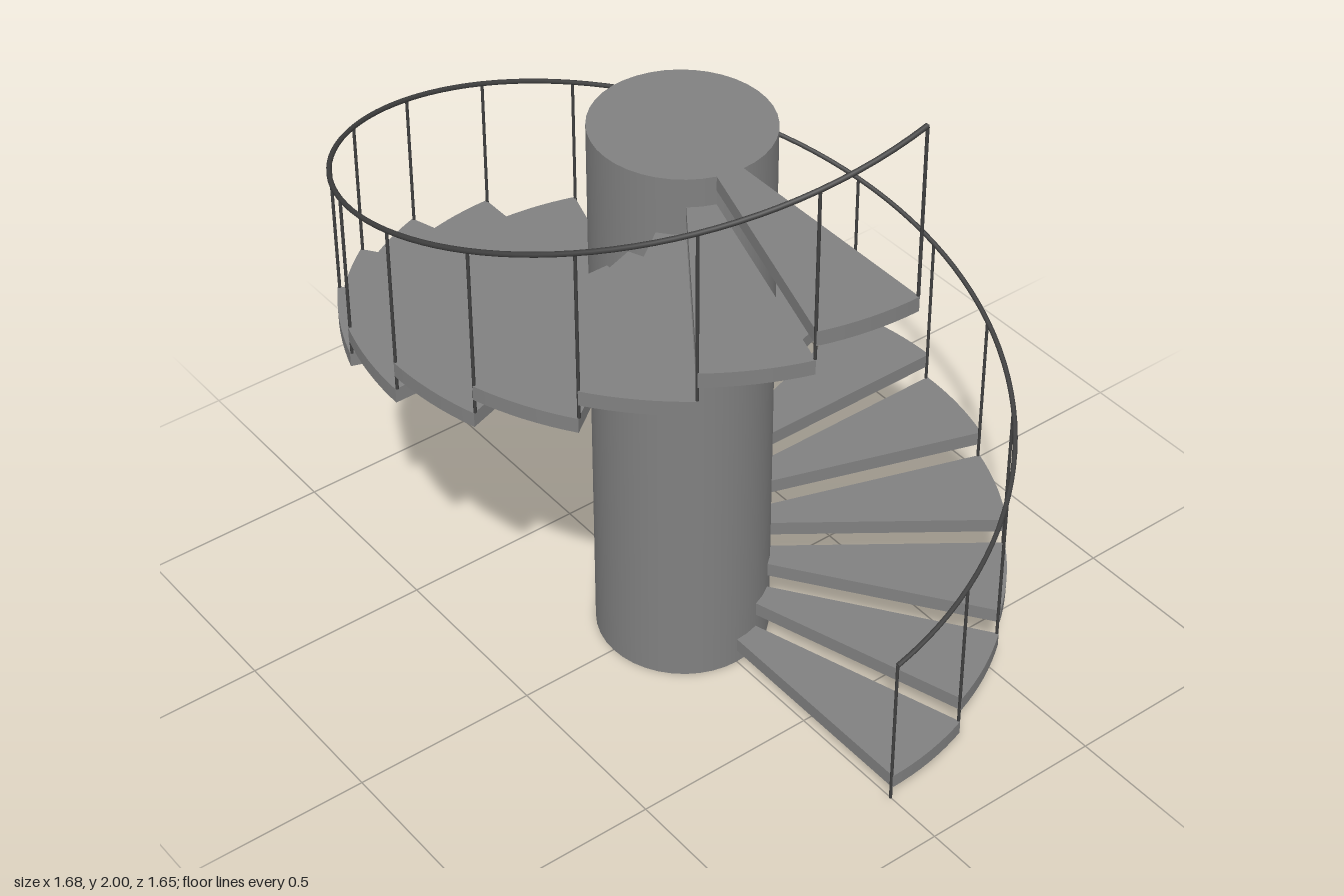
import * as THREE from 'three';

const STEPS = 20;
const TURN = Math.PI * 2 / STEPS;   // angle of one tread
const RISE = 0.0775;                // height gained per tread
const THICK = 0.039;
const OVAL = 0.982;                 // the plan is slightly narrower in z
const COLUMN_R = 0.229, TREAD_R = 0.841, RAIL_R = 0.836;
const RAIL_H = 0.446;               // rail height above the tread line

// Point on the oval plan at angle a, climbing towards -z
const onPlan = (radius, a, y, target = new THREE.Vector3()) =>
  target.set(radius * Math.cos(a), y, -radius * OVAL * Math.sin(a));

class Helix extends THREE.Curve {
  getPoint(t, target) {
    return onPlan(RAIL_R, t * Math.PI * 2, RAIL_H + t * STEPS * RISE, target);
  }
}

// Wedge between two angles, curved on its inner and outer edges
function treadGeometry(from, to) {
  const inner = COLUMN_R - 0.004;
  const wedge = new THREE.Shape();
  wedge.absellipse(0, 0, TREAD_R, TREAD_R * OVAL, from, to, false);
  wedge.absellipse(0, 0, inner, inner * OVAL, to, from, true);
  return new THREE.ExtrudeGeometry(wedge, { depth: THICK, bevelEnabled: false, curveSegments: 4 })
    .rotateX(-Math.PI / 2);
}

export function createModel() {
  const model = new THREE.Group();
  model.name = 'spiralStaircase';
  const stone = new THREE.MeshStandardMaterial({ color: 0x808080 });
  const iron = new THREE.MeshStandardMaterial({ color: 0x404040 });
  const add = (name, geometry, material) => {
    const mesh = new THREE.Mesh(geometry, material);
    mesh.name = name;
    model.add(mesh);
    return mesh;
  };

  // Central column
  const height = STEPS * RISE;
  const columnGeometry = new THREE.CylinderGeometry(COLUMN_R, COLUMN_R, height, 40).scale(1, 1, OVAL);
  add('column', columnGeometry, stone).position.y = height / 2;

  // Wedge treads climbing round the column
  for (let i = 0; i < STEPS; i++) {
    add('tread', treadGeometry(i * TURN, (i + 1) * TURN), stone).position.y = (i + 1) * RISE - THICK;
  }

  // Thin balusters at every tread edge
  const postGeometry = new THREE.CylinderGeometry(0.004, 0.004, RAIL_H, 8);
  for (let i = 0; i <= STEPS; i++) {
    onPlan(RAIL_R, i * TURN, i * RISE + RAIL_H / 2, add('baluster', postGeometry, iron).position);
  }

  // Helical handrail with closed ends
  const helix = new Helix();
  add('handrail', new THREE.TubeGeometry(helix, 120, 0.0065, 8, false), iron);
  for (const t of [0, 1]) {
    const cap = add('handrailEnd', new THREE.CircleGeometry(0.0065, 8), iron);
    helix.getPoint(t, cap.position);
    const outward = helix.getTangent(t).multiplyScalar(t ? 1 : -1);
    cap.quaternion.setFromUnitVectors(new THREE.Vector3(0, 0, 1), outward);
  }

  return model;
}
